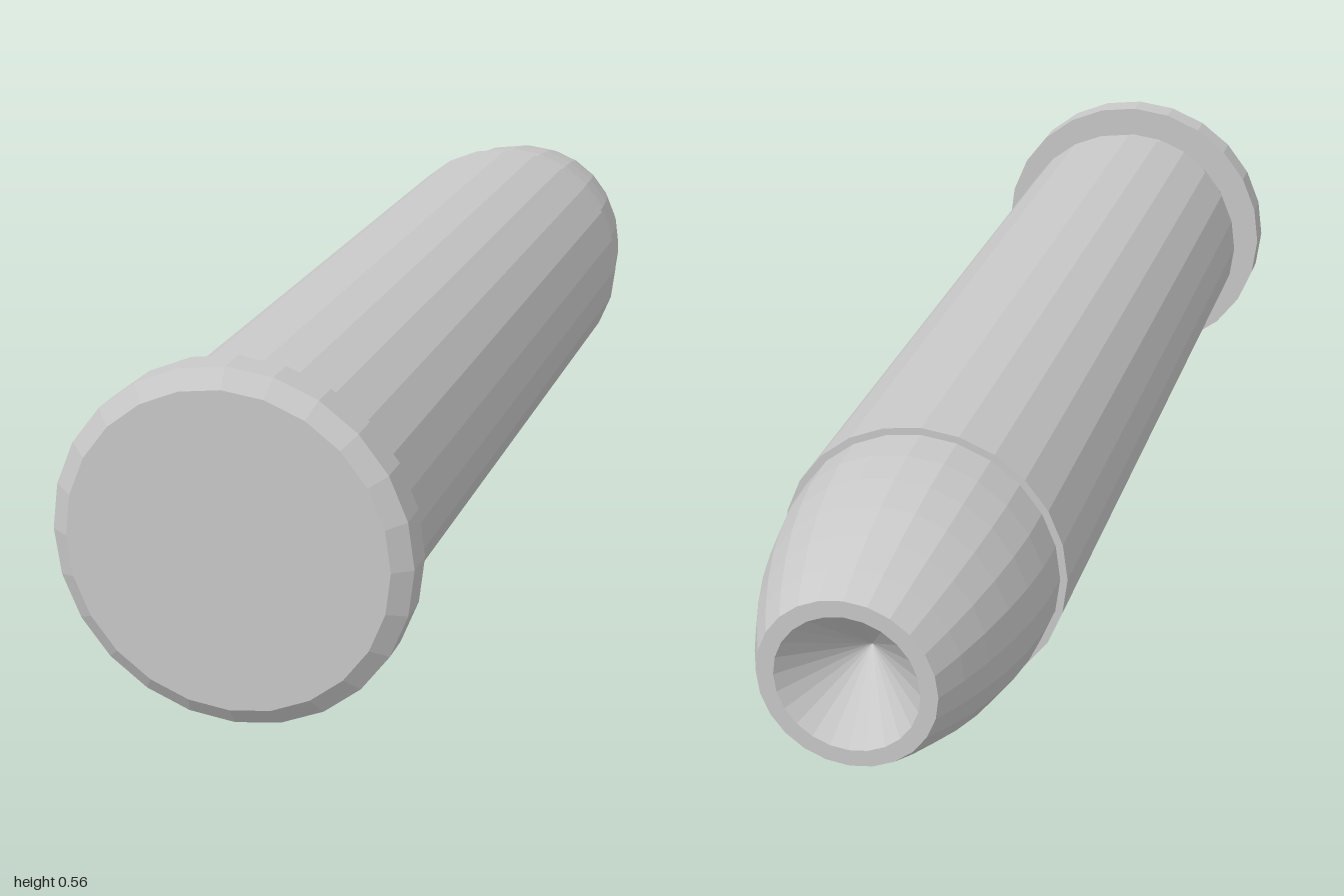
import * as THREE from 'three';

const SIDES = 24;
const AXIS_HEIGHT = 0.278;

export function createModel() {
  const group = new THREE.Group();
  group.name = 'cartridge';
  const metal = new THREE.MeshStandardMaterial({ color: 0xc8c8c8, flatShading: true });
  metal.name = 'greyMetal';

  // Turn a [radius, z] profile, listed from nose to base, around the long axis
  function turned(name, profile) {
    const points = profile.map(([r, z]) => new THREE.Vector2(r, z));
    const geometry = new THREE.LatheGeometry(points, SIDES);
    geometry.rotateX(Math.PI / 2);
    const mesh = new THREE.Mesh(geometry, metal);
    mesh.name = name;
    mesh.position.y = AXIS_HEIGHT;
    group.add(mesh);
  }

  // Tip: conical hollow, flat lip and curved flank
  turned('hollowTip', [
    [0, -0.88], [0.113, -1], [0.14, -1],
    [0.163, -0.945], [0.184, -0.885], [0.202, -0.82],
    [0.215, -0.755], [0.223, -0.69], [0.225, -0.62],
  ]);

  // Case: mouth ring, straight wall and chamfer down to the groove
  turned('case', [
    [0.225, -0.62], [0.237, -0.62], [0.237, 0.872], [0.231, 0.882], [0.22, 0.882],
  ]);

  // Groove in front of the rim
  turned('groove', [[0.22, 0.882], [0.22, 0.927]]);

  // Rim: flange with chamfered edge and flat base
  turned('rim', [
    [0.22, 0.927], [0.278, 0.927], [0.278, 0.98], [0.249, 1], [0, 1],
  ]);

  return group;
}
